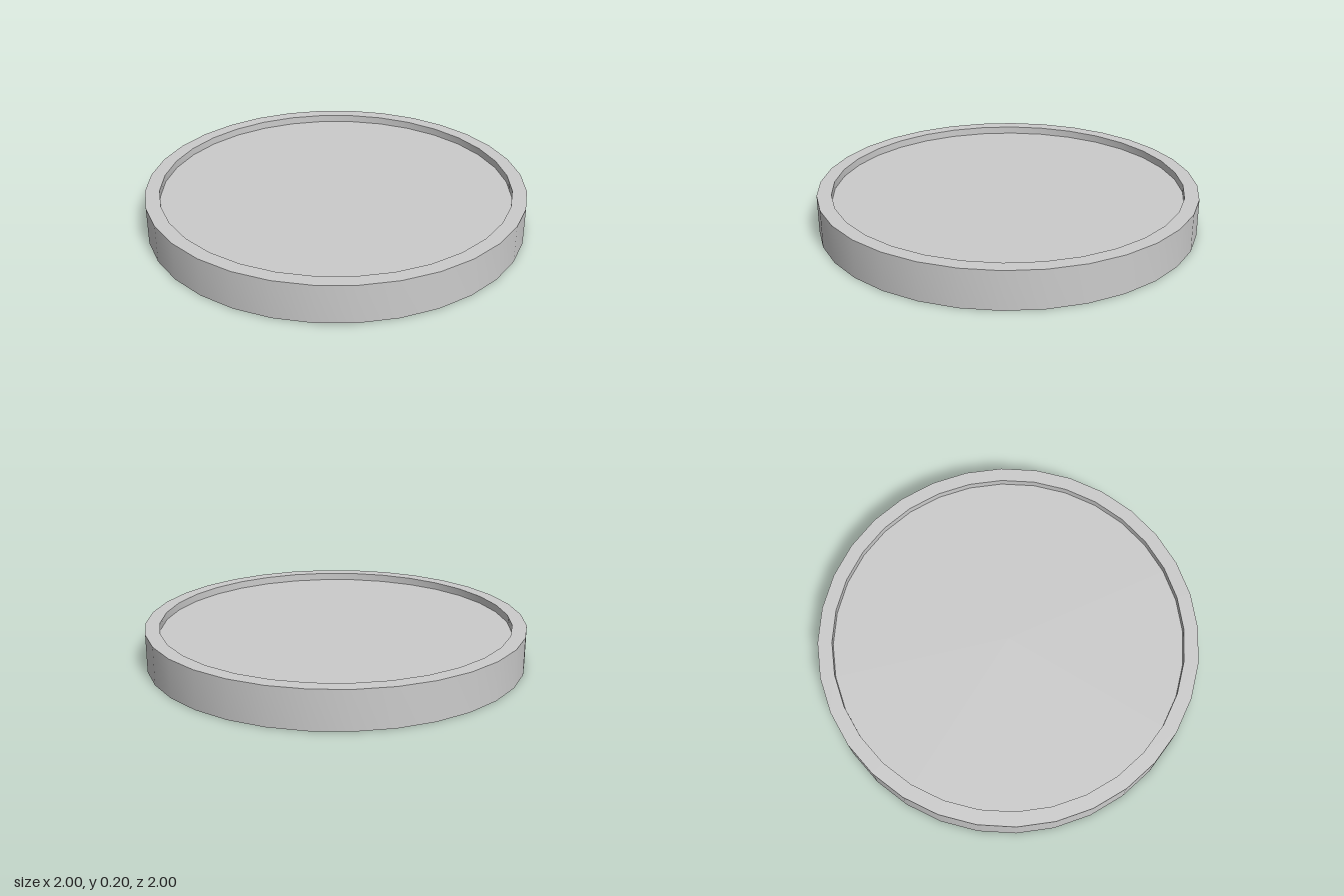
import * as THREE from 'three';
import { toCreasedNormals } from 'three/addons/utils/BufferGeometryUtils.js';

const SIDES = 32;
const RADIUS = 1, INNER_RADIUS = 0.925;
const HEIGHT = 0.2, FLOOR = 0.16;

export function createModel() {
  const group = new THREE.Group();
  group.name = 'shallowTray';

  // Closed profile: underside, outer wall, rim, inner wall, recessed floor
  const profile = [
    [0, 0],
    [RADIUS, 0],
    [RADIUS, HEIGHT],
    [INNER_RADIUS, HEIGHT],
    [INNER_RADIUS, FLOOR],
    [0, FLOOR],
  ].map(([r, y]) => new THREE.Vector2(r, y));

  // Smooth around the walls, sharp at the profile corners
  const geometry = toCreasedNormals(new THREE.LatheGeometry(profile, SIDES), Math.PI / 6);
  const tray = new THREE.Mesh(geometry, new THREE.MeshStandardMaterial({ color: 0xcccccc }));
  tray.name = 'tray';
  group.add(tray);

  return group;
}
